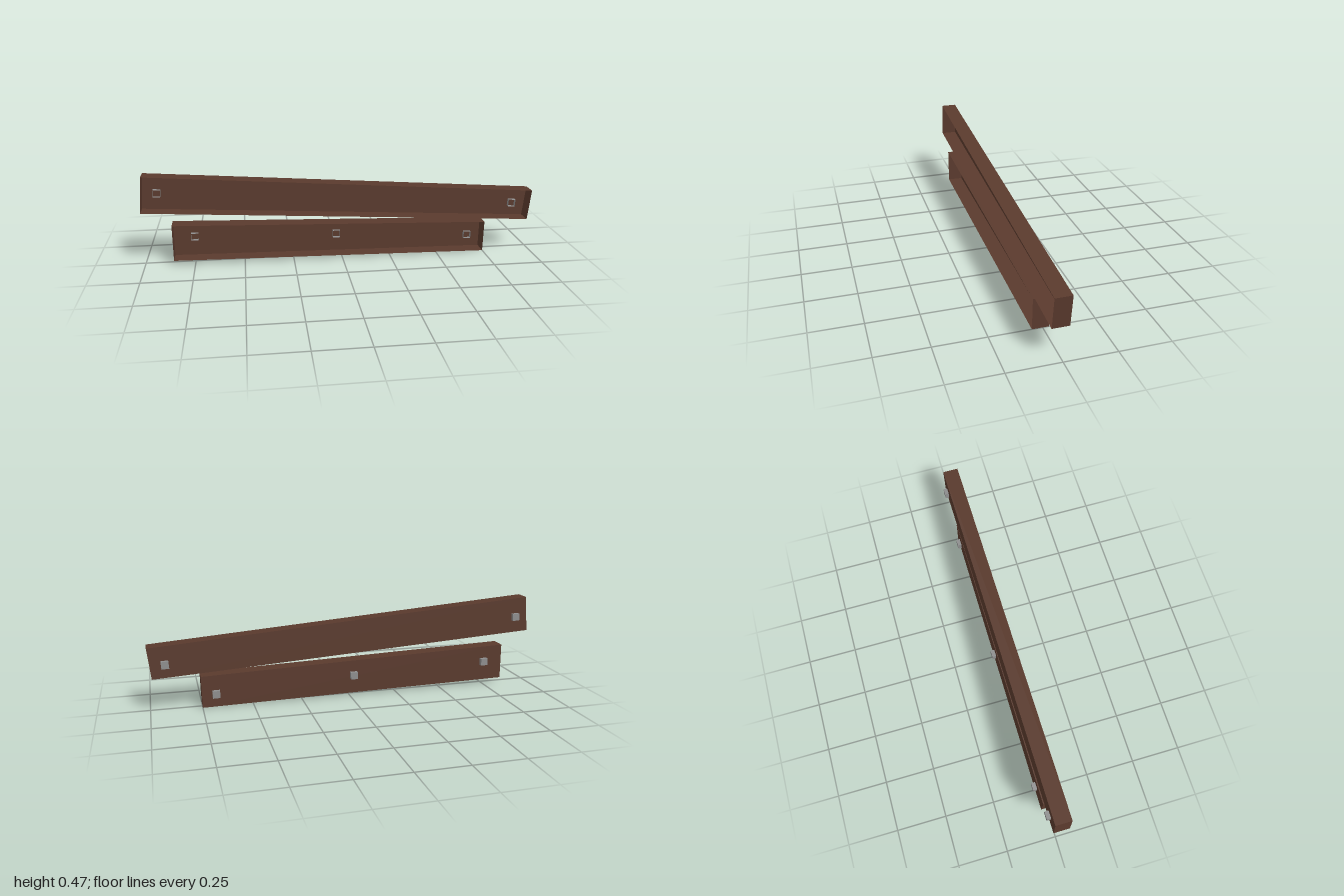
import * as THREE from 'three';

// Open tray: four walls and a back panel, with the +z side left open.
// The outline lists [x, y] corners counter-clockwise as seen from +z.
function openBox(outline, zBack, zFront) {
  const pos = [];
  const quad = (a, b, c, d) => pos.push(...a, ...b, ...c, ...a, ...c, ...d);
  const back = outline.map(([x, y]) => [x, y, zBack]);
  const front = outline.map(([x, y]) => [x, y, zFront]);
  for (let i = 0; i < 4; i++) {
    const j = (i + 1) % 4;
    quad(back[i], back[j], front[j], front[i]);
  }
  quad(back[3], back[2], back[1], back[0]);
  const geo = new THREE.BufferGeometry();
  geo.setAttribute('position', new THREE.Float32BufferAttribute(pos, 3));
  geo.computeVertexNormals();
  return geo;
}

export function createModel() {
  const wood = new THREE.MeshStandardMaterial({ color: 0x5a3a2d, side: THREE.DoubleSide });
  wood.name = 'dark brown wood';
  const metal = new THREE.MeshStandardMaterial({ color: 0x8e8e8e, side: THREE.DoubleSide });
  metal.name = 'grey metal';

  const planks = [
    {
      name: 'upperPlank',
      outline: [[-1, 0.282], [0.983, 0.165], [1, 0.321], [-0.985, 0.466]],
      tilt: -0.066,
      nails: [[-0.923, 0.362], [0.918, 0.237]],
    },
    {
      name: 'lowerPlank',
      outline: [[-0.855, 0.025], [0.75, 0], [0.753, 0.16], [-0.855, 0.21]],
      tilt: -0.02,
      nails: [[-0.75, 0.125], [-0.023, 0.107], [0.682, 0.068]],
    },
  ];

  // Hollow nail head, poking through both sides of the back panel
  const h = 0.0185;
  const nailGeo = openBox([[-h, -h], [h, -h], [h, h], [-h, h]], -0.02, 0.02);

  const model = new THREE.Group();
  model.name = 'nailedPlanks';
  for (const { name, outline, tilt, nails } of planks) {
    const plank = new THREE.Group();
    plank.name = name;
    const board = new THREE.Mesh(openBox(outline, -0.03, 0.05), wood);
    board.name = 'board';
    plank.add(board);
    for (const [x, y] of nails) {
      const nail = new THREE.Mesh(nailGeo, metal);
      nail.name = 'nail';
      nail.position.set(x, y, -0.03);
      nail.rotation.z = tilt;
      plank.add(nail);
    }
    model.add(plank);
  }
  return model;
}
